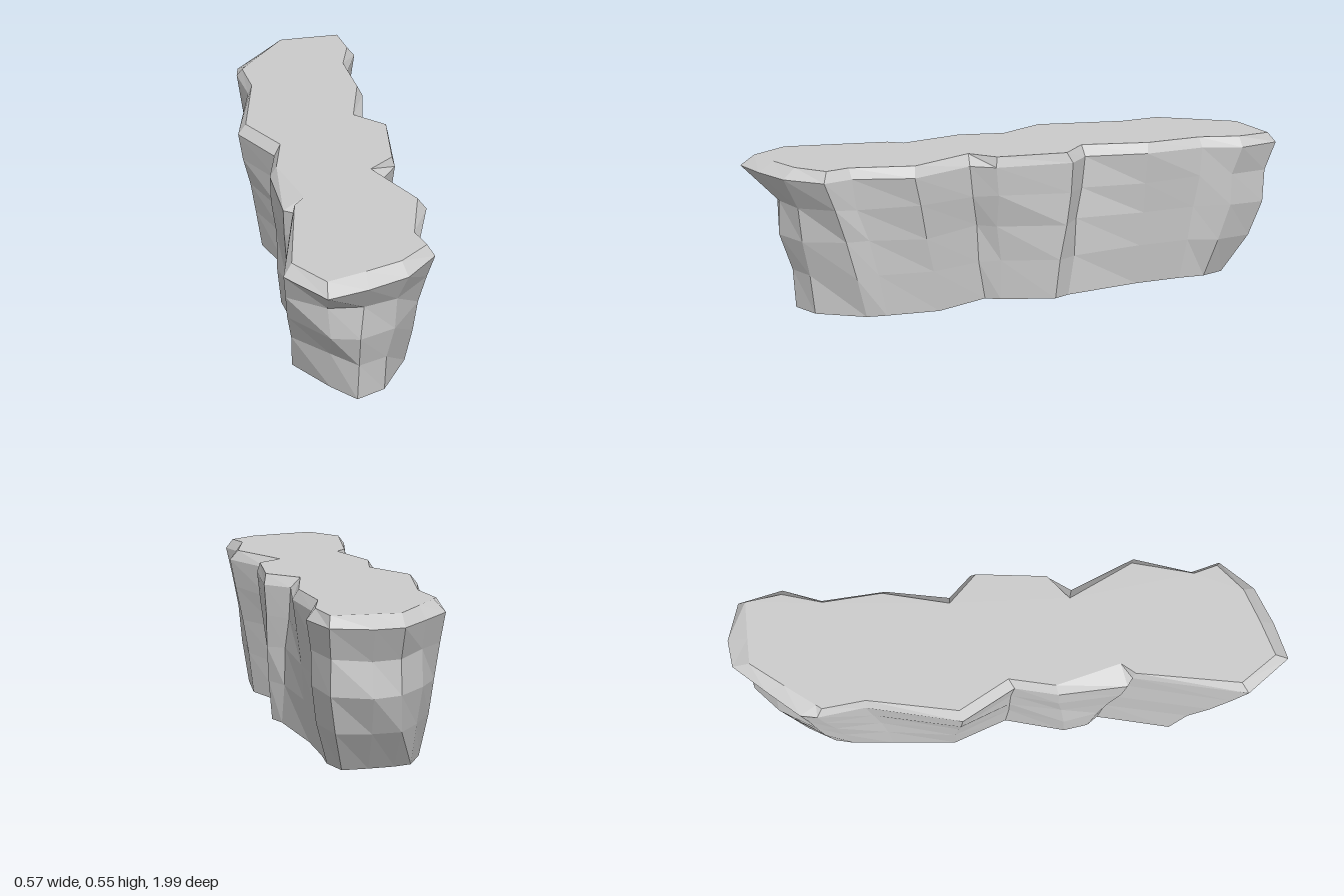
import * as THREE from 'three';

// Matching outlines (x, z pairs), starting at the back and running round past +x.
const TOP = [
  -.035, -.92, .06, -.925, .2, -.93, .22, -.8, .18, -.655, .2, -.44, .145, -.2, .25, -.1, .225, .155,
  .135, .23, .255, .465, .2, .685, .225, .77, .125, .855, 0, .9, -.13, .94, -.225, .81, -.165, .44,
  -.125, .39, -.19, .155, -.155, -.01, -.26, -.19, -.2, -.515, -.22, -.67, -.205, -.69, -.125, -.8,
];
const RIM = [
  -.03, -.985, .07, -1, .21, -.96, .25, -.8, .2, -.66, .22, -.43, .18, -.2, .26, -.12, .235, .16,
  .18, .24, .285, .475, .22, .68, .25, .785, .14, .9, 0, .955, -.135, .99, -.255, .835, -.17, .43,
  -.2, .41, -.215, .165, -.18, .01, -.29, -.18, -.215, -.52, -.24, -.69, -.23, -.75, -.13, -.87,
];
const BASE = [
  -.05, -.785, .04, -.79, .13, -.79, .16, -.7, .155, -.6, .16, -.42, .2, -.13, .225, -.07, .165, .12,
  .135, .17, .215, .37, .2, .56, .19, .63, .09, .79, -.01, .835, -.09, .75, -.2, .6, -.14, .33,
  -.17, .29, -.185, .2, -.13, -.02, -.205, -.215, -.19, -.45, -.18, -.6, -.165, -.67, -.11, -.77,
];
const COUNT = RIM.length / 2;

// Intermediate levels: height and how far the rock has flared on sides, front and back.
const LEVELS = [
  { y: .15, side: .27, front: .12, back: .5 },
  { y: .28, side: .5, front: .47, back: .78 },
  { y: .4, side: .8, front: .48, back: .76 },
];

function seeded(seed) {
  return () => (seed = (seed * 16807) % 2147483647) / 2147483647 - .5;
}

const ring = (outline, height) => Array.from({ length: COUNT }, (_, i) =>
  new THREE.Vector3(outline[2 * i], height(outline[2 * i]), outline[2 * i + 1]));

function meshFrom(name, triangles, material) {
  const geometry = new THREE.BufferGeometry().setFromPoints(triangles);
  geometry.computeVertexNormals();
  const mesh = new THREE.Mesh(geometry, material);
  mesh.name = name;
  return mesh;
}

// Faceted band between two rings
function band(lower, upper) {
  const out = [];
  for (let i = 0; i < COUNT; i++) {
    const j = (i + 1) % COUNT;
    out.push(lower[i], upper[i], upper[j], lower[i], upper[j], lower[j]);
  }
  return out;
}

// Flat cap facing up (+1) or down (-1)
function cap(points, direction) {
  const flat = points.map(p => new THREE.Vector2(p.x, p.z));
  const out = [];
  for (const [a, b, c] of THREE.ShapeUtils.triangulateShape(flat, [])) {
    const up = -THREE.ShapeUtils.area([flat[a], flat[b], flat[c]]);
    out.push(...(up * direction > 0 ? [a, b, c] : [a, c, b]).map(k => points[k]));
  }
  return out;
}

export function createModel() {
  const group = new THREE.Group();
  group.name = 'rockLedge';
  const material = new THREE.MeshStandardMaterial({ color: 0xcccccc, flatShading: true });

  const base = ring(BASE, () => 0);
  const rim = ring(RIM, x => .507 + .008 * x);
  const top = ring(TOP, x => .543 + .012 * x);

  // Rough wall rings, blended from base to rim with slight irregularity
  const noise = seeded(77);
  const rings = [base];
  for (const { y, side, front, back } of LEVELS) {
    rings.push(base.map((b, i) => {
      const end = THREE.MathUtils.smoothstep(Math.abs(b.z), .6, .76);
      const t = THREE.MathUtils.lerp(side, b.z > 0 ? front : back, end);
      const p = b.clone().lerp(rim[i], t);
      return p.set(p.x + noise() * .012, y + noise() * .015, p.z + noise() * .016);
    }));
  }
  rings.push(rim);

  const wall = [];
  for (let k = 0; k + 1 < rings.length; k++) wall.push(...band(rings[k], rings[k + 1]));

  group.add(
    meshFrom('rockWall', wall, material),
    meshFrom('bevelledRim', band(rim, top), material),
    meshFrom('flatTop', cap(top, 1), material),
    meshFrom('underside', cap(base, -1), material),
  );
  return group;
}
